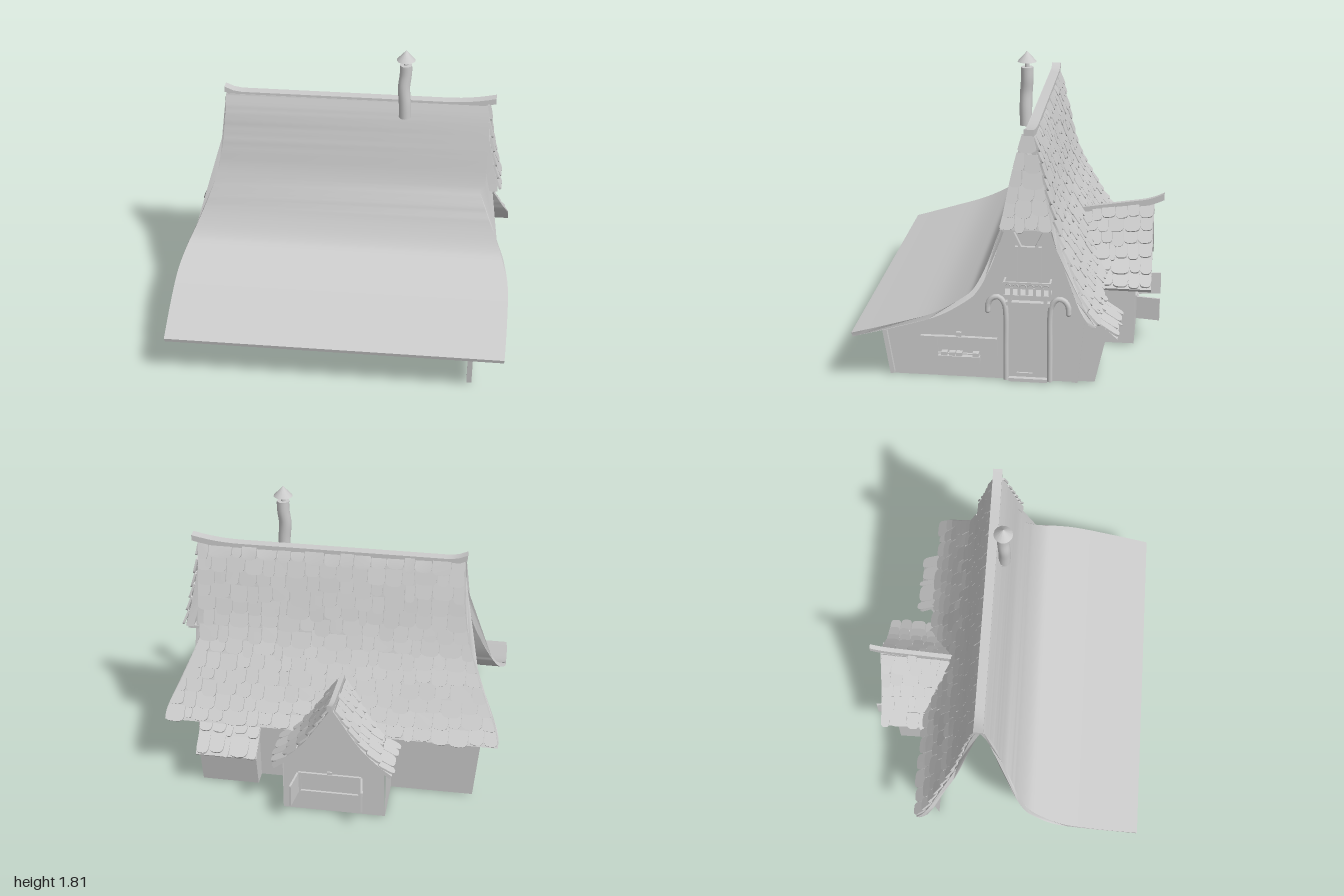
import * as THREE from 'three';
import { mergeGeometries, toCreasedNormals } from 'three/addons/utils/BufferGeometryUtils.js';

const V2 = (x, y) => new THREE.Vector2(x, y);
const V3 = (x, y, z) => new THREE.Vector3(x, y, z);
const mat = new THREE.MeshStandardMaterial({ color: 0xcccccc });
const wallMat = new THREE.MeshStandardMaterial({ color: 0xcccccc, side: THREE.DoubleSide });
const CZ = -0.117; // z of the ridge
const clamp = THREE.MathUtils.clamp;

let seed = 7;
const rnd = () => (seed = (seed * 16807) % 2147483647) / 2147483647;

// smooth line through pairs; roof slopes are (z, y), ridge first
const curve = (a) => new THREE.SplineCurve(a.map(([u, v]) => V2(u, v)));
const front = curve([[-0.09, 1.46], [-0.06, 1.36], [-0.024, 1.195], [0.014, 1], [0.06, 0.86], [0.106, 0.73],
  [0.165, 0.62], [0.23, 0.565], [0.39, 0.48], [0.62, 0.405], [0.855, 0.335]]);
const back = curve([[-0.14, 1.46], [-0.185, 1.27], [-0.235, 1.03], [-0.28, 0.88], [-0.35, 0.73], [-0.43, 0.56], [-0.51, 0.44]]);
const frontPts = front.getPoints(60), backPts = back.getPoints(36);

// linear lookup in a list of [key, value]
function lookup(list, k) {
  if (k <= list[0][0]) return list[0][1];
  for (let i = 1; i < list.length; i++) {
    const [a, va] = list[i - 1], [b, vb] = list[i];
    if (k <= b) return va + (vb - va) * (k - a) / (b - a);
  }
  return list[list.length - 1][1];
}
const byY = (pts) => pts.map((p) => [p.y, p.x]).reverse();
const frontTable = byY(frontPts), backTable = byY(backPts);
const zFront = (y) => lookup(frontTable, y), zBack = (y) => lookup(backTable, y);
const widthTable = curve([[0.32, 0.985], [0.4, 0.995], [0.48, 0.995], [0.56, 0.965], [0.64, 0.925], [0.8, 0.855],
  [0.96, 0.795], [1.12, 0.762], [1.3, 0.742], [1.5, 0.735]]).getPoints(60).map((p) => [p.x, p.y]);
const halfWidth = (y) => lookup(widthTable, y);
const rightEdge = (y) => (y > 0.97 ? 0.83 : halfWidth(y));
const hipX = (y) => 0.83 + 0.085 * Math.pow(Math.max(0, (1.45 - y) / 0.5), 1.5);

// closed outline of a strip of thickness t along a line
function band(pts, t) {
  const inner = pts.map((p, i) => {
    const d = pts[Math.min(i + 1, pts.length - 1)].clone().sub(pts[Math.max(i - 1, 0)]).normalize();
    return V2(p.x + d.y * t, p.y - d.x * t);
  });
  return [...pts, ...inner.reverse()];
}

// moves every vertex of a geometry by a rule
function warp(geo, rule) {
  const p = geo.attributes.position, v = V3(0, 0, 0);
  for (let i = 0; i < p.count; i++) {
    rule(v.fromBufferAttribute(p, i));
    p.setXYZ(i, v.x, v.y, v.z);
  }
  geo.computeVertexNormals();
  return toCreasedNormals(geo, 0.6);
}

// outline in (z, y) stretched in x between two edges that depend on y
function extrudeX(outline, x0, x1) {
  const shape = new THREE.Shape(outline.map((p) => V2(-p.x, p.y)));
  const g = new THREE.ExtrudeGeometry(shape, { depth: 1, bevelEnabled: false }).rotateY(Math.PI / 2);
  return warp(g, (v) => { v.x = v.x < 0.5 ? x0(v.y) : x1(v.y); });
}

// flat wall from four corners, counter-clockwise seen from outside
function quad(a, b, c, d) {
  const g = new THREE.BufferGeometry().setFromPoints([a, b, c, a, c, d].map((p) => V3(...p)));
  g.computeVertexNormals();
  return g;
}

// one shingle: unit size, rounded lower corners
const s = new THREE.Shape();
s.moveTo(-0.48, 1); s.lineTo(-0.48, 0.32); s.quadraticCurveTo(-0.47, 0, -0.12, 0);
s.lineTo(0.12, 0); s.quadraticCurveTo(0.47, 0, 0.48, 0.32); s.lineTo(0.48, 1);
const shingle = new THREE.ExtrudeGeometry(s, { depth: 1, bevelEnabled: false, curveSegments: 4 });

// a row of shingles with lower edges from p0 to p1
function shingleRow(out, p0, p1, upDir, h, width = 0.095) {
  const a = p1.clone().sub(p0), len = a.length(), n = Math.max(1, Math.round(len / width));
  a.normalize();
  const up0 = upDir.clone().addScaledVector(a, -upDir.dot(a)).normalize();
  const nrm = a.clone().cross(up0);
  const cuts = [0];
  for (let i = 1; i < n; i++) cuts.push((i + (rnd() - 0.5) * 0.6) / n);
  cuts.push(1);
  for (let i = 0; i < n; i++) {
    const up = up0.clone().addScaledVector(nrm, -0.1 - 0.08 * rnd()).normalize();
    const c = p0.clone().lerp(p1, (cuts[i] + cuts[i + 1]) / 2)
      .addScaledVector(nrm, 0.012).addScaledVector(up0, (rnd() - 0.5) * 0.03);
    const m = new THREE.Matrix4().makeBasis(a.clone().multiplyScalar((cuts[i + 1] - cuts[i]) * len),
      up.clone().multiplyScalar(h), a.clone().cross(up).multiplyScalar(0.012)).setPosition(c);
    out.push(shingle.clone().applyMatrix4(m));
  }
}

export function createModel() {
  seed = 7;
  const root = new THREE.Group();
  const add = (name, geo, material = mat) => {
    const m = new THREE.Mesh(geo, material);
    m.name = name;
    root.add(m);
    return m;
  };
  const wall = (name, ...corners) => add(name, quad(...corners), wallMat);
  const box = (name, w, h, d, x, y, z) => {
    const m = add(name, new THREE.BoxGeometry(w, h, d));
    m.position.set(x, y, z);
    return m;
  };

  // main roof; shingles are trimmed along the verges and the ridge
  add('frontRoof', extrudeX(band(frontPts, 0.025), (y) => -halfWidth(y), rightEdge));
  add('backRoof', extrudeX(band(backPts, -0.025), (y) => -halfWidth(y), rightEdge));
  const tiles = [], rows = 13;
  for (let i = 0; i < rows; i++) {
    const hi = back.getPointAt(i / rows), lo = back.getPointAt((i + 1) / rows);
    shingleRow(tiles, V3(rightEdge(lo.y), lo.y, lo.x), V3(-halfWidth(lo.y), lo.y, lo.x),
      V3(0, hi.y - lo.y, hi.x - lo.x), hi.distanceTo(lo) * 1.2);
  }
  add('backShingles', warp(mergeGeometries(tiles), (v) => {
    v.x = clamp(v.x, 0.004 - halfWidth(v.y), rightEdge(v.y) - 0.004);
    v.y = Math.min(v.y, 1.465);
  }));

  // ridge beam with upturned ends
  const beam = new THREE.BoxGeometry(1.61, 0.035, 0.055, 32, 1, 1).translate(0.06, 1.455, CZ - 0.008);
  add('ridgeBeam', warp(beam, (v) => {
    v.y += 0.035 * Math.max(0, (v.x - 0.58) / 0.285) ** 2 + 0.03 * Math.max(0, (-0.64 - v.x) / 0.105) ** 2;
  }));

  // half-hip over the right gable
  const ys = [0.95, 1.08, 1.2, 1.32, 1.45];
  const hip = [...ys.map((y) => V2(zFront(y), y)), ...ys.slice().reverse().map((y) => V2(zBack(y), y))];
  add('hipRoof', extrudeX(hip, (y) => hipX(y) - 0.06, (y) => hipX(y) - 0.012));
  const hipTiles = [];
  for (const y of [1.36, 1.27, 1.18, 1.1, 1.02, 0.945]) {
    const x = hipX(y) - 0.01;
    shingleRow(hipTiles, V3(x, y, zFront(y) + 0.005), V3(x, y, zBack(y) - 0.005), V3(hipX(y + 0.1) - hipX(y), 0.1, 0), 0.1, 0.085);
  }
  add('hipShingles', warp(mergeGeometries(hipTiles), (v) => {
    v.z = clamp(v.z, zBack(v.y) - 0.006, zFront(v.y) + 0.006);
  }));
  box('hipSoffit', 0.1, 0.02, 0.27, 0.84, 0.945, CZ);

  // walls
  const gable = [V2(0.68, 0.01), V2(0.735, 0.35), ...frontPts.filter((p) => p.x < 0.73).reverse(),
    ...backPts.filter((p) => p.x > -0.43), V2(-0.43, 0.52), V2(-0.39, 0.01)];
  add('gableWall', new THREE.ShapeGeometry(new THREE.Shape(gable.map((p) => V2(-p.x, p.y - 0.008))))
    .rotateY(Math.PI / 2).translate(0.785, 0, 0), wallMat);
  wall('backWallLeft', [0.785, 0.01, -0.4], [0.25, 0.01, -0.4], [0.25, 0.53, -0.43], [0.785, 0.53, -0.43]);
  wall('backWallRight', [-0.36, 0.005, -0.4], [-0.86, 0.005, -0.4], [-0.905, 0.53, -0.43], [-0.36, 0.53, -0.43]);

  // lean-to at the back corner
  wall('leanToBack', [0.785, 0.01, -0.495], [0.44, 0.01, -0.495], [0.44, 0.33, -0.565], [0.785, 0.33, -0.565]);
  wall('leanToRight', [0.785, 0.01, -0.39], [0.785, 0.01, -0.495], [0.785, 0.33, -0.565], [0.785, 0.45, -0.43]);
  wall('leanToLeft', [0.44, 0.01, -0.495], [0.44, 0.01, -0.39], [0.44, 0.45, -0.43], [0.44, 0.33, -0.565]);
  add('leanToRoof', extrudeX([V2(-0.43, 0.45), V2(-0.62, 0.28), V2(-0.605, 0.265), V2(-0.42, 0.43)], () => 0.42, () => 0.79));
  const leanTiles = [];
  for (const [y, z] of [[0.37, -0.52], [0.28, -0.615]]) {
    shingleRow(leanTiles, V3(0.79, y, z), V3(0.42, y, z), V3(0, 0.17, 0.19), 0.13, 0.075);
  }
  add('leanToShingles', mergeGeometries(leanTiles));

  // rear bay: concave gable roof whose ridge climbs outwards
  const BX = -0.06, eave = 0.38;
  const rise = (z) => 0.36 - (z + 0.34) * 0.16;
  const side = curve([[0, 1], [0.07, 0.74], [0.16, 0.42], [0.26, 0.17], [0.35, 0]]);
  const half = side.getPoints(12);
  const arch = [...half.slice(1).reverse().map((p) => V2(-p.x, p.y * 0.4)), ...half.map((p) => V2(p.x, p.y * 0.4))];
  const bayRoof = new THREE.ExtrudeGeometry(new THREE.Shape(band(arch, 0.022)), { depth: 1, bevelEnabled: false });
  add('bayRoof', warp(bayRoof, (v) => {
    const z = v.z < 0.5 ? -0.79 : zBack(eave + v.y * 0.9) + 0.02;
    v.set(v.x + BX, eave + v.y * rise(z) / 0.4, z);
  }));
  const bayTiles = [], bayRows = 6;
  for (const sx of [1, -1]) {
    for (let i = 0; i < bayRows; i++) {
      const hi = side.getPointAt(i / bayRows), lo = side.getPointAt((i + 1) / bayRows);
      const at = (z) => V3(BX + sx * lo.x, eave + lo.y * rise(z), z);
      const ends = [at(zBack(eave + lo.y * 0.36) + 0.02), at(-0.79)];
      if (sx < 0) ends.reverse();
      shingleRow(bayTiles, ends[0], ends[1], V3(sx * (hi.x - lo.x), (hi.y - lo.y) * 0.4, 0), i ? 0.105 : 0.075, 0.075);
    }
  }
  add('bayShingles', mergeGeometries(bayTiles));
  const bayBeam = new THREE.BoxGeometry(0.028, 0.04, 0.5, 1, 1, 16).translate(BX, 0, -0.6);
  add('bayRidge', warp(bayBeam, (v) => {
    v.y += eave + rise(v.z) + 0.005 + 0.025 * Math.max(0, (-0.72 - v.z) / 0.13) ** 2;
  }));
  const bayTop = arch.filter((p) => Math.abs(p.x) < 0.31).reverse().map((p) => V2(p.x, eave - 0.012 + p.y * rise(-0.69) / 0.4));
  add('bayWall', new THREE.ShapeGeometry(new THREE.Shape([V2(-0.305, 0.01), V2(0.305, 0.01), ...bayTop]))
    .rotateY(Math.PI).translate(BX, 0, -0.695), wallMat);
  const [bl, br] = [BX - 0.305, BX + 0.305];
  wall('baySideLeft', [br, 0.01, -0.4], [br, 0.01, -0.695], [br, 0.42, -0.695], [br, 0.42, -0.4]);
  wall('baySideRight', [bl, 0.01, -0.695], [bl, 0.01, -0.4], [bl, 0.42, -0.4], [bl, 0.42, -0.695]);

  // bay window with open shutters
  for (const sx of [1, -1]) {
    box('bayShutter', 0.012, 0.14, 0.14, -0.035 + sx * 0.2, 0.21, -0.774).rotation.y = -sx * 0.15;
    box('bayWindowJamb', 0.018, 0.14, 0.02, -0.035 + sx * 0.18, 0.21, -0.698);
  }
  for (const y of [0.145, 0.275]) box('bayWindowRail', 0.37, 0.016, 0.02, -0.035, y, -0.699);
  box('bayWindowOrnament', 0.03, 0.02, 0.012, -0.035, 0.29, -0.699);

  // gable window, shutters and planter
  box('windowPane', 0.012, 0.11, 0.24, 0.79, 0.2, 0.28);
  for (const z of [0.45, 0.11]) box('windowShutter', 0.025, 0.11, 0.1, 0.797, 0.2, z);
  for (const y of [0.15, 0.25]) box('windowRail', 0.025, 0.012, 0.24, 0.797, y, 0.28);
  box('windowOrnament', 0.02, 0.025, 0.03, 0.795, 0.27, 0.28);
  box('planter', 0.055, 0.04, 0.24, 0.812, 0.13, 0.275);
  for (const z of [0.36, 0.315, 0.275, 0.18]) box('planterFlower', 0.035, 0.03, 0.035, 0.815, 0.155, z);

  // door, threshold and curled posts
  box('door', 0.02, 0.46, 0.22, 0.788, 0.24, CZ);
  box('doorLintel', 0.04, 0.02, 0.25, 0.8, 0.48, CZ);
  box('threshold', 0.04, 0.02, 0.22, 0.805, 0.015, CZ);
  box('doorKickRail', 0.02, 0.008, 0.09, 0.8, 0.05, CZ + 0.02);
  for (const sz of [1, -1]) {
    const pts = [[0.125, 0.01], [0.125, 0.2], [0.125, 0.42], [0.135, 0.48], [0.165, 0.515], [0.2, 0.51], [0.225, 0.475], [0.228, 0.43]]
      .map(([d, y]) => V3(0.808, y, CZ + sz * d));
    add('curledPost', new THREE.TubeGeometry(new THREE.CatmullRomCurve3(pts), 32, 0.016, 8));
    add('postTip', new THREE.SphereGeometry(0.016, 8, 6)).position.copy(pts[7]);
    box('balconyBracket', 0.07, 0.05, 0.018, 0.82, 0.52, CZ + sz * 0.1);
    box('balconySideRail', 0.08, 0.01, 0.01, 0.83, 0.625, CZ + sz * 0.128);
    box('balconyCorner', 0.012, 0.08, 0.012, 0.868, 0.59, CZ + sz * 0.128);
    box('balconyDoorJamb', 0.02, 0.23, 0.012, 0.792, 0.695, CZ + sz * 0.068);
    box('hipBrace', 0.03, 0.14, 0.015, 0.8, 0.88, CZ + sz * 0.075).rotation.x = sz * 0.45;
  }

  // balcony with arched balusters
  box('balconyFloor', 0.09, 0.015, 0.265, 0.83, 0.55, CZ);
  box('balconyRail', 0.012, 0.01, 0.265, 0.868, 0.628, CZ);
  box('balconyDoor', 0.012, 0.23, 0.13, 0.788, 0.695, CZ);
  box('balconyDoorHead', 0.025, 0.012, 0.15, 0.794, 0.812, CZ);
  for (let i = 0; i < 6; i++) {
    const z = CZ + (i - 2.5) * 0.043;
    const a = add('balconyArch', new THREE.TorusGeometry(0.018, 0.004, 5, 10, Math.PI).rotateY(Math.PI / 2));
    a.position.set(0.868, 0.602, z);
    for (const d of [-0.018, 0.018]) box('baluster', 0.008, 0.05, 0.008, 0.868, 0.578, z + d);
  }

  // corner posts and rafter ends on the gable
  box('frontCornerPost', 0.03, 0.34, 0.025, 0.795, 0.18, 0.692).rotation.x = 0.15;
  box('backCornerPost', 0.035, 0.5, 0.035, 0.795, 0.26, -0.405).rotation.x = -0.09;
  const slope = frontPts.map((p) => [p.x, p.y]);
  for (const z of [0.51, 0.37, 0.255]) box('rafterEnd', 0.05, 0.04, 0.016, 0.81, lookup(slope, z) - 0.045, z);

  // stove pipe chimney with a pointed cap
  const flue = [[0.335, 1.385, -0.052], [0.332, 1.48, -0.05], [0.325, 1.58, -0.052], [0.333, 1.66, -0.058], [0.335, 1.72, -0.058]];
  add('chimney', new THREE.TubeGeometry(new THREE.CatmullRomCurve3(flue.map((p) => V3(...p))), 20, 0.036, 14));
  const turned = (name, r0, r1, h, y) => add(name, new THREE.CylinderGeometry(r0, r1, h, 14)).position.set(0.333, y, -0.057);
  turned('chimneyTop', 0.036, 0.036, 0.008, 1.72);
  turned('chimneyBase', 0.036, 0.036, 0.008, 1.389);
  turned('chimneyNeck', 0.013, 0.013, 0.04, 1.74);
  turned('chimneyCap', 0.001, 0.055, 0.06, 1.785);

  return root;
}
